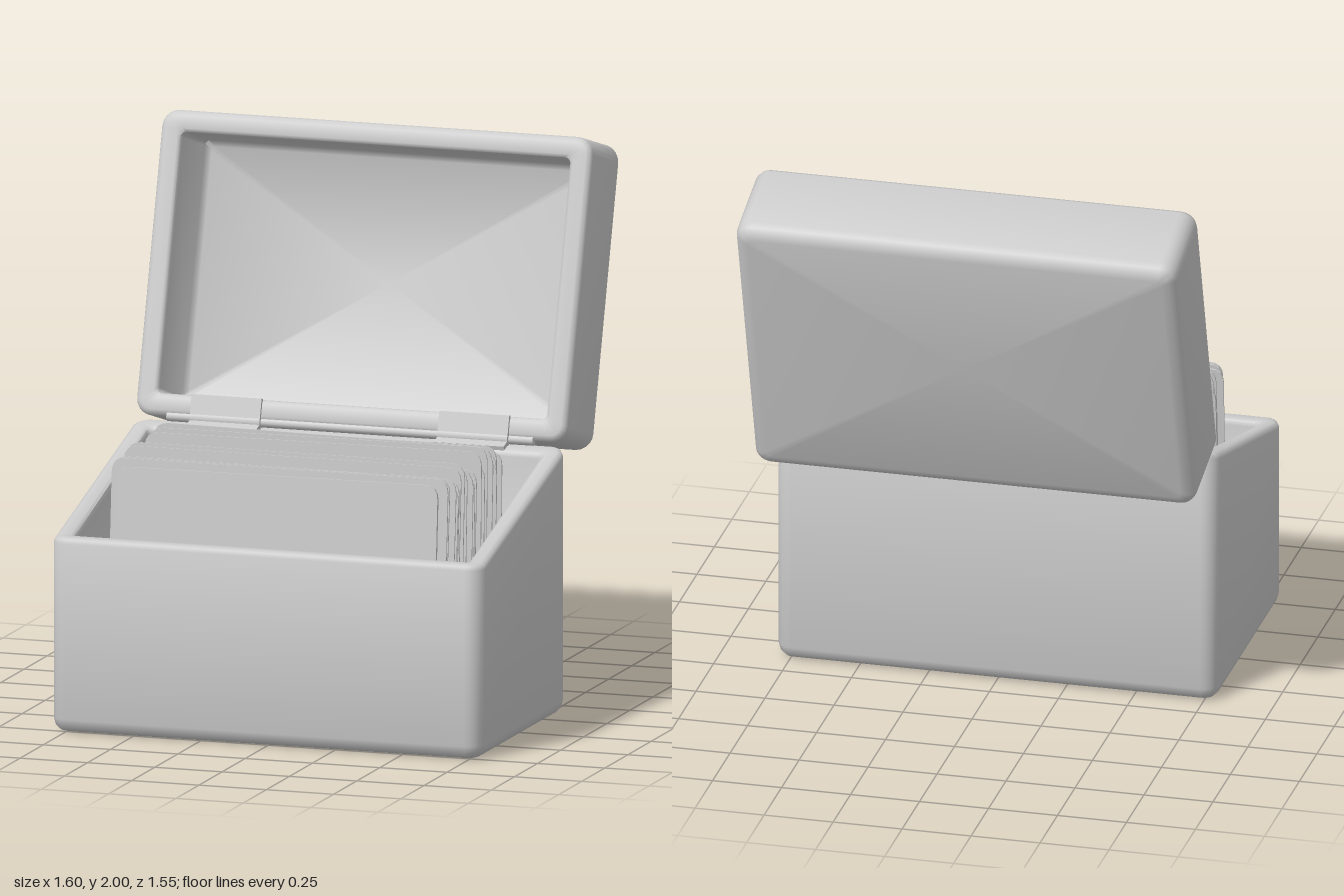
import * as THREE from 'three';
import { toCreasedNormals } from 'three/addons/utils/BufferGeometryUtils.js';

const material = new THREE.MeshStandardMaterial({ color: 0xcccccc });

function add(parent, name, geometry) {
  const mesh = new THREE.Mesh(geometry, material);
  mesh.name = name;
  parent.add(mesh);
  return mesh;
}

// Rounded rectangle outline in the xz plane, pulled in by `inset`
function outline(w, d, radius, inset) {
  const r = Math.max(radius - inset, 0.02);
  const hx = w / 2 - inset - r, hz = d / 2 - inset - r;
  const steps = 5, points = [];
  [[1, 1], [-1, 1], [-1, -1], [1, -1]].forEach(([sx, sz], corner) => {
    for (let i = 0; i <= steps; i++) {
      const a = (corner + i / steps) * Math.PI / 2;
      points.push([sx * hx + r * Math.cos(a), sz * hz + r * Math.sin(a)]);
    }
  });
  return points;
}

// Hollow open tub: outer skin, rounded rim, inner skin and floor in one loft
function tub(w, d, wall, floor, topAt) {
  const rings = [
    [0.05, () => 0], [0.025, () => 0.007], [0.007, () => 0.025], [0, () => 0.05],
    [0, z => topAt(z) - 0.02], [0.006, z => topAt(z) - 0.006], [0.02, topAt],
    [wall - 0.015, topAt], [wall - 0.004, z => topAt(z) - 0.005], [wall, z => topAt(z) - 0.02],
    [wall, () => floor + 0.02], [wall + 0.02, () => floor],
  ];
  const pos = [], idx = [];
  for (const [inset, height] of rings) {
    for (const [x, z] of outline(w, d, 0.06, inset)) pos.push(x, height(z), z);
  }
  const n = pos.length / 3 / rings.length, last = (rings.length - 1) * n;
  const under = pos.length / 3, inside = under + 1;
  pos.push(0, 0, 0, 0, floor, 0);
  for (let j = 0; j < n; j++) {
    const k = (j + 1) % n;
    for (let i = 0; i < last; i += n) {
      idx.push(i + j, i + n + j, i + k, i + k, i + n + j, i + n + k);
    }
    idx.push(under, j, k, inside, last + k, last + j);
  }
  const geo = new THREE.BufferGeometry();
  geo.setAttribute('position', new THREE.Float32BufferAttribute(pos, 3));
  geo.setIndex(idx);
  return toCreasedNormals(geo, 0.9);
}

// Thin index card with rounded upper corners, standing on y = 0
function card(w, h, thickness) {
  const x = w / 2, r = 0.05;
  const s = new THREE.Shape();
  s.moveTo(-x, 0);
  s.lineTo(x, 0);
  s.lineTo(x, h - r);
  s.quadraticCurveTo(x, h, x - r, h);
  s.lineTo(-x + r, h);
  s.quadraticCurveTo(-x, h, -x, h - r);
  return new THREE.ExtrudeGeometry(s, { depth: thickness, bevelEnabled: false, curveSegments: 4 });
}

function seeded(seed) {
  return () => (seed = (seed * 16807) % 2147483647) / 2147483647;
}

export function createModel() {
  const model = new THREE.Group();
  model.name = 'cardBox';

  // Base with side walls that climb towards the back
  const baseZ = 0.315;
  const base = add(model, 'base', tub(1.6, 0.95, 0.07, 0.06,
    z => 0.70 + Math.max(0, 0.70 - z - baseZ) * 0.295));
  base.position.z = baseZ;

  // Lid leaning back, its opening facing forward
  const lid = add(model, 'lid', tub(1.6, 1.08, 0.08, 0.06, () => 0.35));
  lid.position.set(0, 1.388, -0.617);
  lid.rotation.x = 1.285;

  // Hinge pin, leaves and knuckles along the back edge
  const hinge = new THREE.Group();
  hinge.name = 'hinge';
  hinge.position.set(0, 0.965, -0.145);
  model.add(hinge);
  add(hinge, 'hingePin', new THREE.CylinderGeometry(0.018, 0.018, 1.36, 10)).rotation.z = Math.PI / 2;
  for (const x of [-0.46, 0.46]) {
    add(hinge, 'hingeKnuckle', new THREE.CylinderGeometry(0.03, 0.03, 0.26, 12)
      .rotateZ(Math.PI / 2)).position.x = x;
    const lower = add(hinge, 'lowerLeaf', new THREE.BoxGeometry(0.26, 0.015, 0.07));
    lower.position.set(x, -0.012, 0.03);
    lower.rotation.x = 0.29;
    const upper = add(hinge, 'upperLeaf', new THREE.BoxGeometry(0.26, 0.08, 0.015));
    upper.position.set(x, 0.045, 0.008);
    upper.rotation.x = -0.28;
  }

  // Row of cards, leaning a little more towards the front
  const cards = new THREE.Group();
  cards.name = 'cards';
  model.add(cards);
  const random = seeded(11), count = 32;
  for (let i = 0; i < count; i++) {
    const t = i / (count - 1);
    const front = i === count - 1;
    const lean = 0.015 + 0.07 * t + (random() - 0.5) * 0.015;
    const height = front ? 0.88 : 0.85 + random() * 0.09;
    const mesh = add(cards, 'card', card(front ? 1.2 : 1.25, height, front ? 0.012 : 0.007));
    mesh.position.set((random() - 0.5) * 0.025, 0.065, 0.025 + 0.6 * t + height * Math.sin(lean));
    mesh.rotation.set(-lean, (random() - 0.5) * 0.012, (random() - 0.5) * 0.02);
  }
  return model;
}
